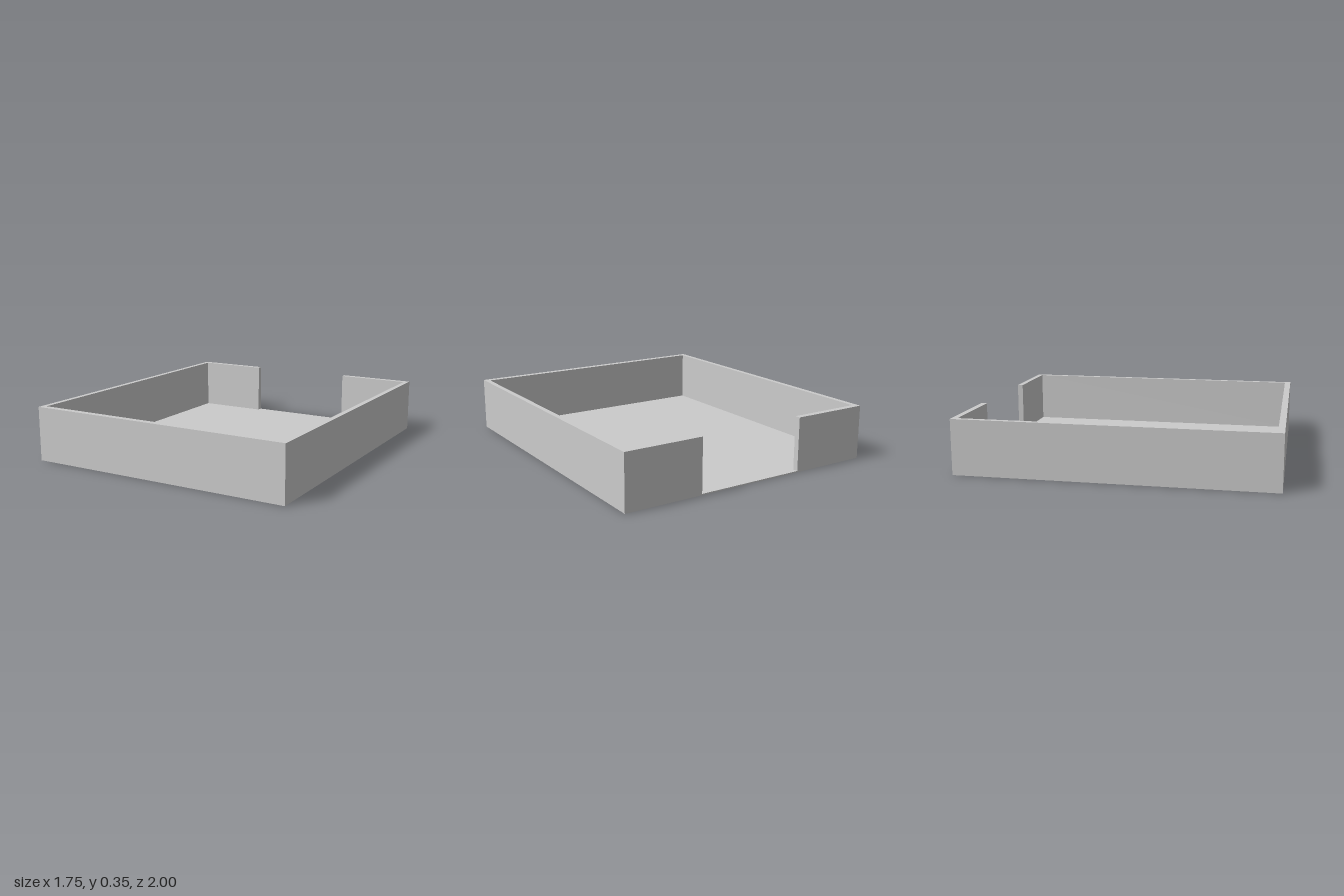
import * as THREE from 'three';

const HALF_W = 0.877, HALF_D = 1, HEIGHT = 0.352, FLOOR = 0.008;
const INNER_W = 0.844, INNER_FRONT = 0.96, INNER_BACK = -0.963, GAP = 0.362;

export function createModel() {
  const group = new THREE.Group();
  group.name = 'openTray';
  const material = new THREE.MeshStandardMaterial({ color: 0xcccccc });

  // Thin floor plate
  const floor = new THREE.Mesh(new THREE.BoxGeometry(2 * HALF_W, FLOOR, 2 * HALF_D), material);
  floor.name = 'floor';
  floor.position.y = FLOOR / 2;
  group.add(floor);

  // One continuous rim wall, open in the middle of the back; outline in (x, -z)
  const half = [
    [GAP, -INNER_BACK], [INNER_W, -INNER_BACK], [INNER_W, -INNER_FRONT],
  ];
  const outer = [[HALF_W, -HALF_D], [HALF_W, HALF_D], [GAP, HALF_D]];
  const mirror = (points) => points.map(([x, y]) => [-x, y]).reverse();
  const outline = [...outer, ...half, ...mirror(half), ...mirror(outer)];
  const shape = new THREE.Shape(outline.map(([x, y]) => new THREE.Vector2(x, y)));
  const wallGeometry = new THREE.ExtrudeGeometry(shape, { depth: HEIGHT - FLOOR, bevelEnabled: false });
  wallGeometry.rotateX(-Math.PI / 2);
  const walls = new THREE.Mesh(wallGeometry, material);
  walls.name = 'walls';
  walls.position.y = FLOOR;
  group.add(walls);

  return group;
}
